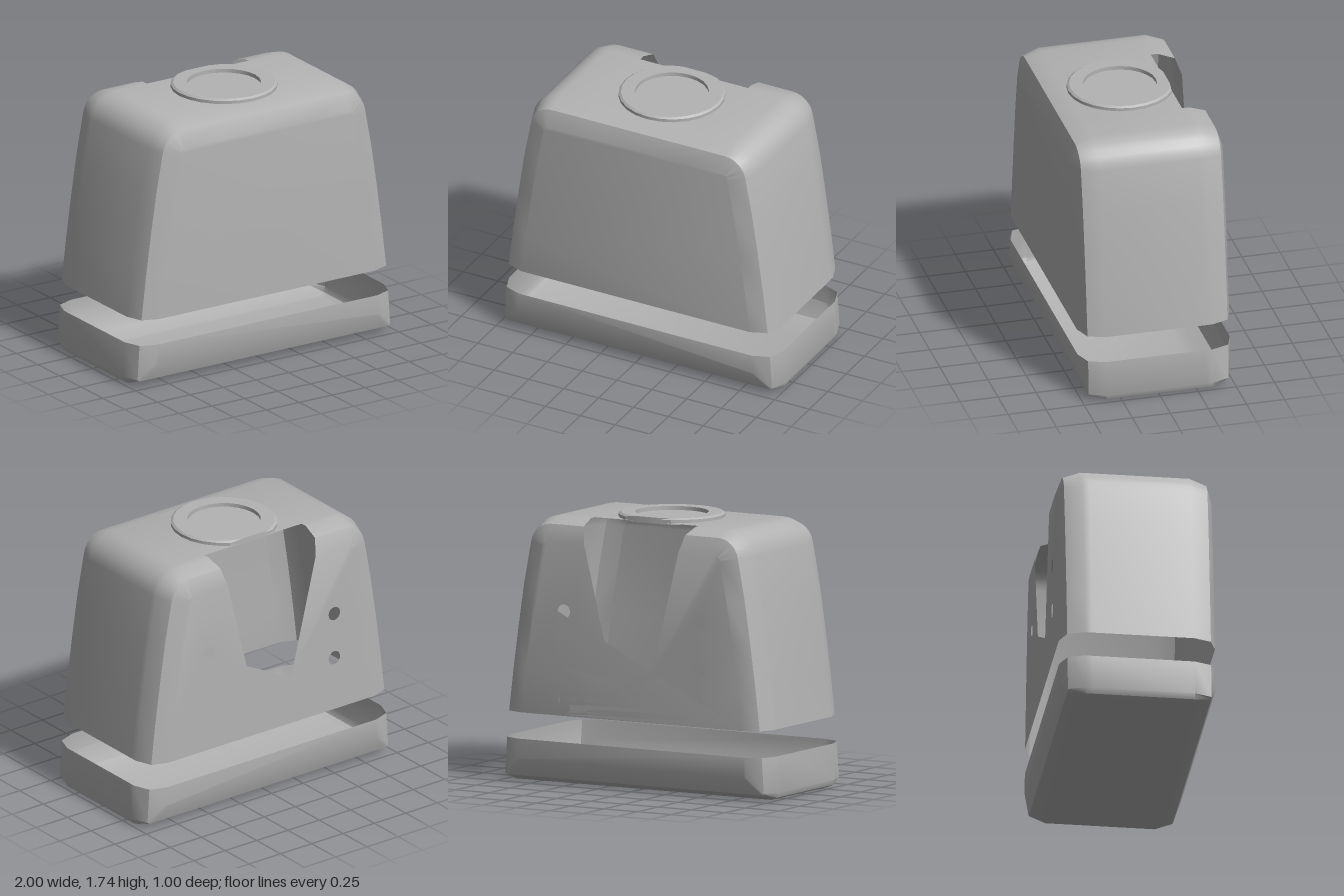
import * as THREE from 'three';
import { mergeGeometries, toCreasedNormals } from 'three/addons/utils/BufferGeometryUtils.js';

const grey = new THREE.MeshStandardMaterial({ color: 0xb3b3b3, side: THREE.DoubleSide });
grey.name = 'plain grey';

// depth stations of the rounded edge: [z, inset of the outline]
const stations = [[-0.5, 0.15], [-0.46, 0.04], [-0.35, 0], [-0.305, 0], [0.35, 0], [0.46, 0.04], [0.5, 0.15]];
const NOTCH_Z = -0.305;

const mirrored = (half) => [...half, ...half.map(([x, y]) => [-x, y]).reverse()];

// hood outline, from the lower +x corner over the top to -x
function hoodOutline(d) {
  const half = [[0.97, 0.45], [0.938, 0.72], [0.90, 1.0], [0.858, 1.28]].map(([x, y]) => [x - d, y]);
  for (let i = 0; i <= 6; i++) {
    const a = THREE.MathUtils.degToRad(9 + (81 * i) / 6);
    half.push([0.62 + (0.19 - d) * Math.cos(a), 1.52 + (0.19 - d) * Math.sin(a)]);
  }
  half.push([0.387 - 0.247 * d, 1.71 - d]); // edge of the rear notch
  return mirrored(half);
}

// tray outline, from the -x rim under the floor to the +x rim
function trayOutline(d) {
  const half = [[0.985 - d, 0.28], [1 - d, Math.max(0.05, d)], [0.985 - d, Math.max(0.015, d)], [0.95 - d, d]];
  return mirrored(half.map(([x, y]) => [-x, y]));
}

// skin between the outlines; skip(z, j) leaves an opening
function loft(outline, skip = () => false) {
  const rings = stations.map(([z, d]) => outline(d).map(([x, y]) => [x, y, z]));
  const pos = [];
  for (let i = 0; i < rings.length - 1; i++) {
    for (let j = 0; j < rings[i].length - 1; j++) {
      if (skip(stations[i][0], j)) continue;
      const a = rings[i][j], b = rings[i][j + 1], c = rings[i + 1][j + 1], e = rings[i + 1][j];
      pos.push(...a, ...b, ...c, ...a, ...c, ...e);
    }
  }
  const g = new THREE.BufferGeometry();
  g.setAttribute('position', new THREE.Float32BufferAttribute(pos, 3));
  return g;
}

// flat end wall facing +z or -z
function wall(points, z, holes = []) {
  const shape = new THREE.Shape(points.map(([x, y]) => new THREE.Vector2(x, y)));
  for (const [x, y, r] of holes) {
    shape.holes.push(new THREE.Path().absarc(x, y, r, 0, Math.PI * 2, true));
  }
  const indexed = new THREE.ShapeGeometry(shape, 8);
  if (z < 0) indexed.index.array.reverse();
  const g = indexed.toNonIndexed().translate(0, 0, z);
  g.deleteAttribute('uv');
  g.deleteAttribute('normal');
  return g;
}

function addMesh(parent, name, geometry) {
  const mesh = new THREE.Mesh(geometry, grey);
  mesh.name = name;
  parent.add(mesh);
  return mesh;
}

export function createModel() {
  const model = new THREE.Group();
  model.name = 'twoPartCasing';

  // hood: open below, notched at the back, two columns of round holes
  const end = hoodOutline(0.15);
  const mid = end.length / 2;
  const back = [...end.slice(0, mid), [0.16, 0.79], [0, 0.69], [-0.16, 0.79], ...end.slice(mid)];
  const holes = [];
  for (const x of [-0.5, 0.5]) for (const y of [0.505, 0.81, 1.12]) holes.push([x, y, 0.046]);
  addMesh(model, 'hood', toCreasedNormals(mergeGeometries([
    loft(hoodOutline, (z, j) => z < NOTCH_Z && j === mid - 1),
    wall(end, 0.5),
    wall(back, -0.5, holes),
  ]), 0.6));

  // shallow open tray below the hood
  const trayEnd = trayOutline(0.15);
  addMesh(model, 'tray', toCreasedNormals(mergeGeometries([
    loft(trayOutline), wall(trayEnd, 0.5), wall(trayEnd, -0.5),
  ]), 0.6));

  // raised ring on top, cut flat where it meets the notch
  const profile = [[0.235, 1.70], [0.235, 1.74], [0.325, 1.74], [0.34, 1.73], [0.34, 1.70]];
  const ring = new THREE.LatheGeometry(profile.map(([x, y]) => new THREE.Vector2(x, y)), 24);
  const p = ring.attributes.position;
  for (let i = 0; i < p.count; i++) p.setZ(i, Math.max(p.getZ(i), NOTCH_Z));
  addMesh(model, 'topRing', toCreasedNormals(ring, 0.5));

  // button disc sunk inside the ring
  addMesh(model, 'buttonDisc', new THREE.CircleGeometry(0.235, 24).rotateX(-Math.PI / 2).translate(0, 1.715, 0));

  return model;
}
